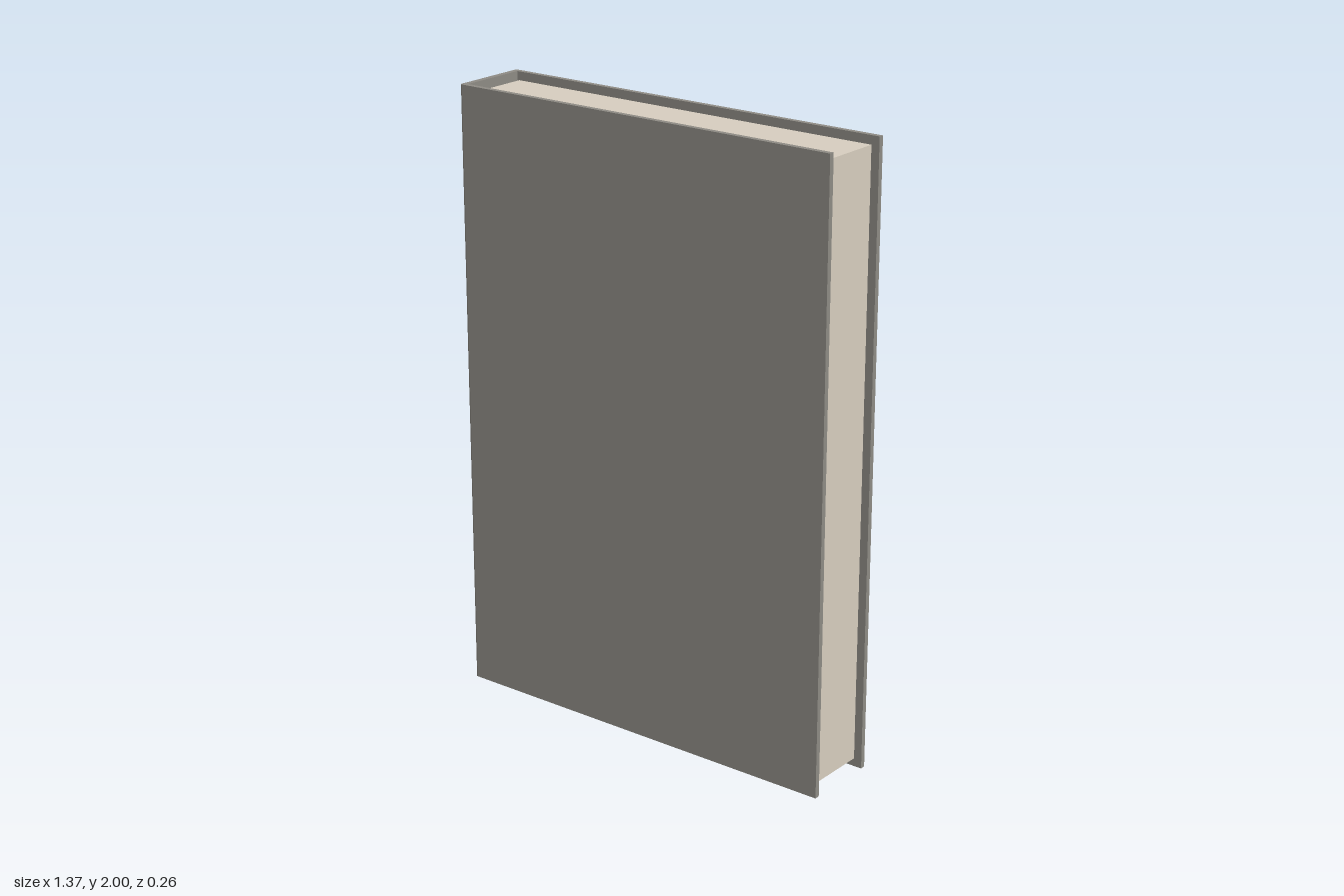
import * as THREE from 'three';

export function createModel() {
  const book = new THREE.Group();
  book.name = 'book';

  const coverMaterial = new THREE.MeshStandardMaterial({ color: 0x8f8c85, flatShading: true });
  const pageMaterial = new THREE.MeshStandardMaterial({ color: 0xd8cfc0 });

  const halfWidth = 0.687, halfDepth = 0.131, height = 2;
  const board = 0.017, spine = 0.019, corner = 0.008;

  // Cover: U-shaped section of two boards and a spine, softened at the spine corners
  const section = new THREE.Shape();
  section.moveTo(halfWidth, -halfDepth);
  section.lineTo(halfWidth, -halfDepth + board);
  section.lineTo(-halfWidth + spine, -halfDepth + board);
  section.lineTo(-halfWidth + spine, halfDepth - board);
  section.lineTo(halfWidth, halfDepth - board);
  section.lineTo(halfWidth, halfDepth);
  section.lineTo(-halfWidth + corner, halfDepth);
  section.quadraticCurveTo(-halfWidth, halfDepth, -halfWidth, halfDepth - corner);
  section.lineTo(-halfWidth, -halfDepth + corner);
  section.quadraticCurveTo(-halfWidth, -halfDepth, -halfWidth + corner, -halfDepth);
  section.closePath();

  const coverGeometry = new THREE.ExtrudeGeometry(section, {
    depth: height, bevelEnabled: false, curveSegments: 3,
  });
  coverGeometry.rotateX(-Math.PI / 2);
  const cover = new THREE.Mesh(coverGeometry, coverMaterial);
  cover.name = 'cover';
  book.add(cover);

  // Page block, set in from the top, bottom and fore edge
  const pages = new THREE.Mesh(new THREE.BoxGeometry(1.32, 1.945, 0.225), pageMaterial);
  pages.position.set(0.001, 1.0, 0);
  pages.name = 'pages';
  book.add(pages);

  return book;
}
